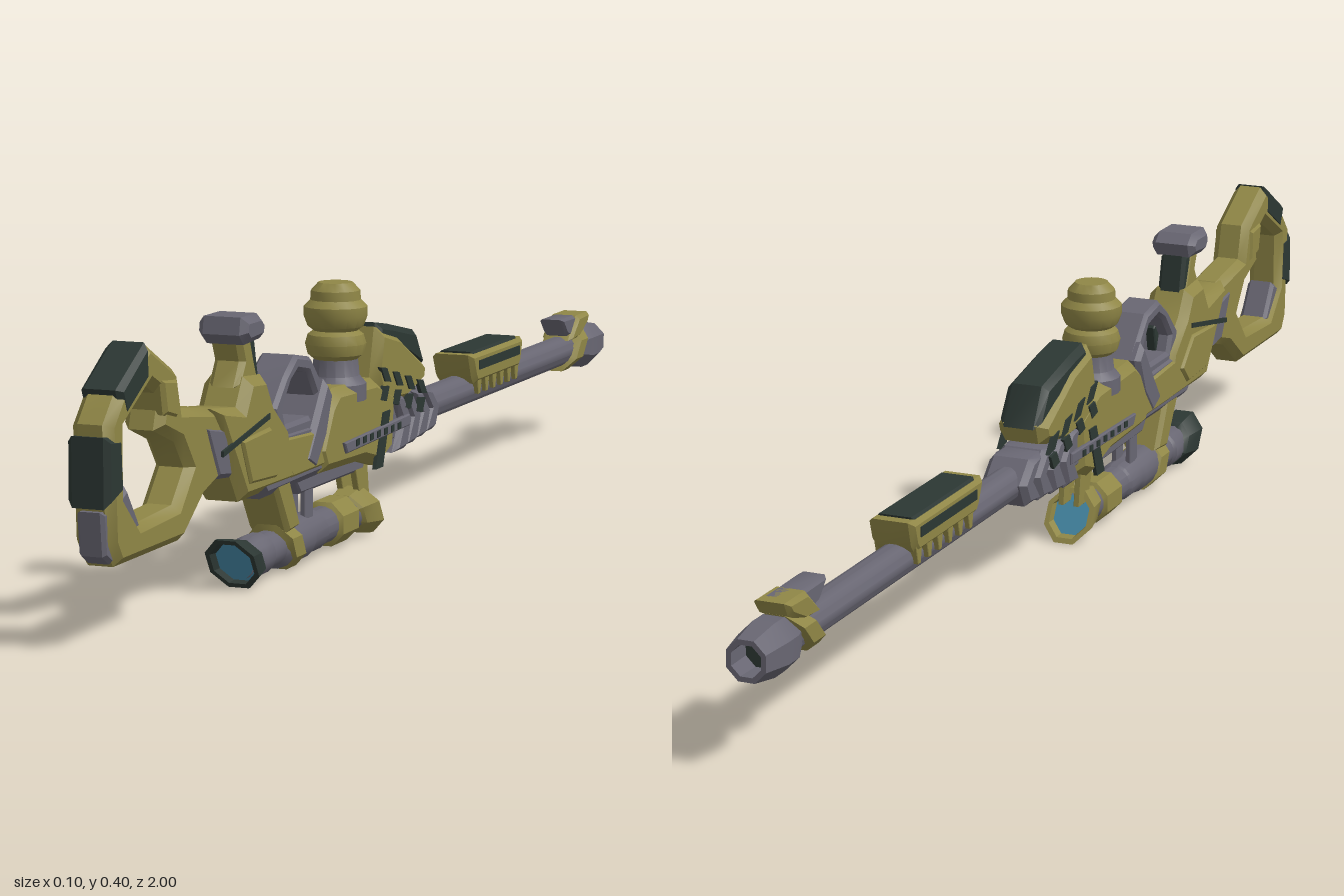
import * as THREE from 'three';
import { toCreasedNormals } from 'three/addons/utils/BufferGeometryUtils.js';

const material = (name, color) => Object.assign(new THREE.MeshStandardMaterial({ color }), { name });

export function createModel() {
  const root = new THREE.Group();
  root.name = 'rifle';
  const olive = material('olive', 0x8f8646);
  const gray = material('gunmetal', 0x686672);
  const dark = material('dark', 0x2c3733);
  const blue = material('lensBlue', 0x4589a6);

  const add = (name, geometry, mat) => {
    const mesh = new THREE.Mesh(toCreasedNormals(geometry, 0.6), mat);
    mesh.name = name;
    root.add(mesh);
    return mesh;
  };

  // Chamfered slab: side profile in [z, y], spread to x = cx +- half
  const slab = (name, pts, half, mat, bevel = 0.012, hole = null, cx = 0) => {
    const toV = (p) => new THREE.Vector2(p[0], p[1]);
    const shape = new THREE.Shape(pts.map(toV));
    if (hole) shape.holes.push(new THREE.Path(hole.map(toV)));
    const depth = 2 * (half - bevel);
    const g = new THREE.ExtrudeGeometry(shape, {
      depth, bevelEnabled: bevel > 0, bevelSize: bevel, bevelThickness: bevel, bevelOffset: -bevel, bevelSegments: 1,
    });
    g.translate(0, 0, -depth / 2).rotateY(-Math.PI / 2).translate(cx, 0, 0);
    return add(name, g, mat);
  };
  const sidePair = (name, pts, half, cx, mat, bevel = 0) => {
    for (const s of [-1, 1]) slab(name + (s > 0 ? 'Left' : 'Right'), pts, half, mat, bevel, null, s * cx);
  };

  // Turned part along z: profile in [radius, z], sheared so its ends can slant
  const turned = (name, pts, y, mat, sides = 16, shear = 0) => {
    const g = new THREE.LatheGeometry(pts.map((p) => new THREE.Vector2(p[0], p[1])), sides);
    g.rotateY(Math.PI / sides).rotateX(Math.PI / 2);
    const p = g.attributes.position;
    for (let i = 0; i < p.count; i++) p.setZ(i, p.getZ(i) + shear * p.getY(i));
    g.translate(0, y, 0);
    return add(name, g, mat);
  };

  // Shoulder stock: open frame with pads
  slab('stockFrame',
    [[0.992, 0.31], [0.95, 0.355], [0.87, 0.403], [0.78, 0.355], [0.765, 0.3], [0.66, 0.285], [0.62, 0.24], [0.65, 0.18],
      [0.7, 0.165], [0.765, 0.118], [0.965, 0.118], [0.985, 0.15]], 0.03, olive, 0.012,
    [[0.945, 0.3], [0.865, 0.345], [0.825, 0.325], [0.84, 0.28], [0.775, 0.255], [0.745, 0.215], [0.785, 0.17],
      [0.9, 0.165], [0.945, 0.21]]);
  slab('buttPad', [[1, 0.2], [1, 0.295], [0.955, 0.29], [0.95, 0.215]], 0.031, dark, 0.008);
  slab('cheekPad', [[0.963, 0.352], [0.875, 0.404], [0.87, 0.355], [0.945, 0.312]], 0.031, dark, 0.008);
  slab('buttHeel', [[0.996, 0.195], [0.965, 0.195], [0.93, 0.14], [0.97, 0.122], [0.99, 0.135]], 0.02, gray, 0.005);
  slab('stockInnerBrace', [[0.93, 0.22], [0.89, 0.16], [0.93, 0.15], [0.97, 0.2]], 0.024, gray, 0.006);
  slab('stockNeckCover', [[0.84, 0.35], [0.79, 0.345], [0.79, 0.29], [0.83, 0.3]], 0.034, olive, 0.006);
  slab('neckJoint', [[0.7, 0.265], [0.63, 0.255], [0.61, 0.18], [0.66, 0.185]], 0.033, gray, 0.008);

  // Receiver
  slab('receiverCore', [[0.58, 0.22], [0.0, 0.21], [-0.05, 0.19], [-0.05, 0.135], [0.5, 0.13]], 0.034, gray);
  slab('rearReceiver',
    [[0.67, 0.285], [0.585, 0.275], [0.56, 0.315], [0.5, 0.31], [0.475, 0.27], [0.42, 0.225], [0.4, 0.14],
      [0.58, 0.14], [0.62, 0.2]], 0.038, olive, 0.014);
  sidePair('rearPanel', [[0.6, 0.23], [0.5, 0.235], [0.45, 0.19], [0.48, 0.16], [0.57, 0.165]], 0.006, 0.037, olive, 0.004);
  sidePair('rearSeam', [[0.66, 0.225], [0.5, 0.255], [0.5, 0.247], [0.66, 0.217]], 0.002, 0.038, dark);
  slab('middleReceiver', [[0.46, 0.215], [0.3, 0.21], [0.24, 0.165], [0.28, 0.14], [0.42, 0.14]], 0.038, olive);
  slab('grayWedge', [[0.37, 0.165], [0.33, 0.22], [0.29, 0.275], [0.265, 0.25], [0.29, 0.19], [0.33, 0.145]], 0.04, gray, 0.008);
  slab('frontReceiver',
    [[0.28, 0.235], [0.25, 0.255], [0.1, 0.25], [0.02, 0.22], [0.03, 0.13], [0.08, 0.112], [0.15, 0.13], [0.3, 0.135],
      [0.32, 0.17]], 0.042, olive, 0.014);
  sidePair('sideRail', [[0.24, 0.172], [-0.02, 0.178], [-0.02, 0.16], [0.23, 0.155]], 0.004, 0.043, gray, 0.002);
  for (let i = 0; i < 7; i++) {
    const z = 0.2 - i * 0.028;
    sidePair('railSlot' + i, [[z, 0.171], [z - 0.012, 0.172], [z - 0.012, 0.162], [z, 0.161]], 0.002, 0.0465, dark);
  }
  slab('scopeRail', [[0.36, 0.135], [0.08, 0.135], [0.1, 0.108], [0.34, 0.11]], 0.018, gray, 0.004);

  // Trigger grip and guard
  slab('gripPost', [[0.575, 0.3], [0.5, 0.295], [0.515, 0.335], [0.53, 0.375], [0.57, 0.375], [0.555, 0.335]], 0.024, olive, 0.008);
  slab('gripInsert', [[0.53, 0.3], [0.495, 0.295], [0.51, 0.365], [0.54, 0.365]], 0.022, dark, 0.006);
  slab('gripCap', [[0.58, 0.375], [0.575, 0.4], [0.52, 0.4], [0.502, 0.385], [0.51, 0.363], [0.565, 0.36]], 0.038, gray, 0.01);
  slab('triggerGuard',
    [[0.46, 0.255], [0.42, 0.295], [0.38, 0.322], [0.325, 0.312], [0.27, 0.255], [0.28, 0.2], [0.45, 0.2]], 0.03, gray, 0.006,
    [[0.43, 0.25], [0.4, 0.285], [0.375, 0.298], [0.335, 0.29], [0.305, 0.25], [0.32, 0.225], [0.42, 0.225]]);
  slab('trigger', [[0.445, 0.22], [0.42, 0.22], [0.41, 0.265], [0.42, 0.275]], 0.008, dark, 0.002);

  // Upright canister
  const upright = (name, pts, mat) => {
    const g = new THREE.LatheGeometry(pts.map((p) => new THREE.Vector2(p[0], p[1])), 16);
    return add(name, g.translate(0, 0, 0.165), mat);
  };
  upright('canisterBase', [[0.046, 0.225], [0.046, 0.25], [0.036, 0.262], [0.032, 0.3]], gray);
  upright('canister',
    [[0, 0.284], [0.03, 0.284], [0.042, 0.294], [0.046, 0.31], [0.042, 0.324], [0.034, 0.33], [0.042, 0.336], [0.048, 0.352],
      [0.048, 0.366], [0.038, 0.376], [0.037, 0.39], [0.026, 0.402], [0, 0.402]], olive);

  // Striped fore-end housing
  slab('foreEnd', [[0.1, 0.25], [0.08, 0.325], [0.0, 0.305], [-0.115, 0.245], [-0.105, 0.215], [-0.03, 0.195], [0.07, 0.2]],
    0.041, olive, 0.014);
  slab('foreEndTop', [[0.085, 0.275], [0.068, 0.33], [0.02, 0.322], [-0.085, 0.3], [-0.118, 0.24], [-0.05, 0.262], [0.03, 0.285]],
    0.034, dark, 0.01);
  for (let i = 0; i < 4; i++) {
    const z = 0.09 - i * 0.05, y = 0.265 - i * 0.013;
    sidePair('upperStripe' + i, [[z, y], [z - 0.024, y - 0.004], [z - 0.042, y - 0.028], [z - 0.018, y - 0.024]], 0.003, 0.0405, dark);
    sidePair('lowerStripe' + i, [[z - 0.012, y - 0.03], [z - 0.034, y - 0.033], [z - 0.022, y - 0.055], [z, y - 0.05]], 0.003, 0.0405, dark);
  }
  sidePair('obliqueStripe', [[0.115, 0.112], [0.085, 0.112], [0.055, 0.195], [0.082, 0.195]], 0.003, 0.0415, dark);

  // Stepped collar at the barrel root
  for (let i = 0; i < 4; i++) {
    const z = 0.01 - i * 0.045, h = 0.045 - i * 0.003;
    slab('collar' + i, [[z + 0.02, 0.168 + h], [z - 0.02, 0.166 + h], [z - 0.055, 0.17], [z - 0.035, 0.168 - h], [z + 0.015, 0.168 - h], [z - 0.01, 0.168]],
      0.043 - i * 0.002, gray, 0.009);
  }

  // Barrel, rail and muzzle
  turned('barrel', [[0.026, -0.95], [0.026, -0.05]], 0.165, gray);
  slab('barrelTray', [[-0.32, 0.228], [-0.335, 0.19], [-0.345, 0.178], [-0.545, 0.178], [-0.555, 0.19], [-0.565, 0.228]],
    0.036, olive, 0.008);
  slab('barrelTrayInsert', [[-0.338, 0.231], [-0.345, 0.2], [-0.54, 0.2], [-0.548, 0.231]], 0.029, dark, 0.004);
  sidePair('trayGroove', [[-0.35, 0.216], [-0.54, 0.216], [-0.54, 0.201], [-0.35, 0.201]], 0.002, 0.0355, dark);
  for (let i = 0; i < 6; i++) {
    const z = -0.352 - i * 0.035;
    sidePair('trayTooth' + i, [[z, 0.19], [z - 0.022, 0.19], [z - 0.014, 0.16], [z - 0.006, 0.16]], 0.005, 0.028, olive, 0.001);
  }
  turned('muzzle', [[0.026, -0.955], [0.024, -1], [0.032, -1], [0.041, -0.95], [0.041, -0.92], [0.026, -0.885]], 0.165, gray, 8);
  turned('muzzleBore', [[0, -0.955], [0.027, -0.955]], 0.165, dark, 8);
  turned('muzzleBand', [[0.026, -0.89], [0.038, -0.885], [0.038, -0.85], [0.026, -0.845]], 0.168, olive, 8, -0.9);
  slab('sightMount', [[-0.83, 0.185], [-0.87, 0.225], [-0.93, 0.225], [-0.92, 0.205], [-0.88, 0.185]], 0.028, olive, 0.007);
  slab('frontSight', [[-0.8, 0.225], [-0.91, 0.225], [-0.905, 0.208], [-0.87, 0.185], [-0.825, 0.195]], 0.022, gray, 0.006);

  // Slung optic
  const sy = 0.043;
  turned('scopeTube',
    [[0.028, 0.1], [0.028, 0.26], [0.031, 0.265], [0.031, 0.31], [0.034, 0.32], [0.034, 0.4], [0.027, 0.41], [0.027, 0.455],
      [0.031, 0.46], [0.031, 0.49], [0.027, 0.5], [0.027, 0.53]], sy, gray);
  turned('eyepiece', [[0.026, 0.495], [0.034, 0.505], [0.041, 0.54], [0.041, 0.547], [0.034, 0.547], [0.03, 0.515]], sy, dark, 8, 0.6);
  turned('eyepieceLens', [[0.031, 0.532], [0, 0.532]], sy, blue, 8, 0.6);
  turned('objective', [[0.03, 0.11], [0.034, 0.077], [0.042, 0.077], [0.041, 0.09], [0.034, 0.125], [0.026, 0.135]], sy, olive, 8, 0.6);
  turned('objectiveLens', [[0, 0.092], [0.033, 0.092]], sy, blue, 8, 0.6);
  turned('scopeBand', [[0.027, 0.15], [0.036, 0.155], [0.036, 0.215], [0.027, 0.22]], sy, olive, 8);
  turned('strapRing', [[0.028, 0.365], [0.039, 0.37], [0.039, 0.405], [0.028, 0.41]], sy, olive, 8, 0.5);
  slab('scopeStrap', [[0.465, 0.15], [0.41, 0.15], [0.37, 0.07], [0.415, 0.065]], 0.032, olive, 0.007);
  sidePair('frontStrut', [[0.135, 0.125], [0.085, 0.125], [0.075, 0.06], [0.11, 0.06]], 0.005, 0.013, olive, 0.001);
  sidePair('middleStrut', [[0.32, 0.115], [0.29, 0.115], [0.29, 0.06], [0.32, 0.06]], 0.004, 0.012, gray, 0.001);
  return root;
}
